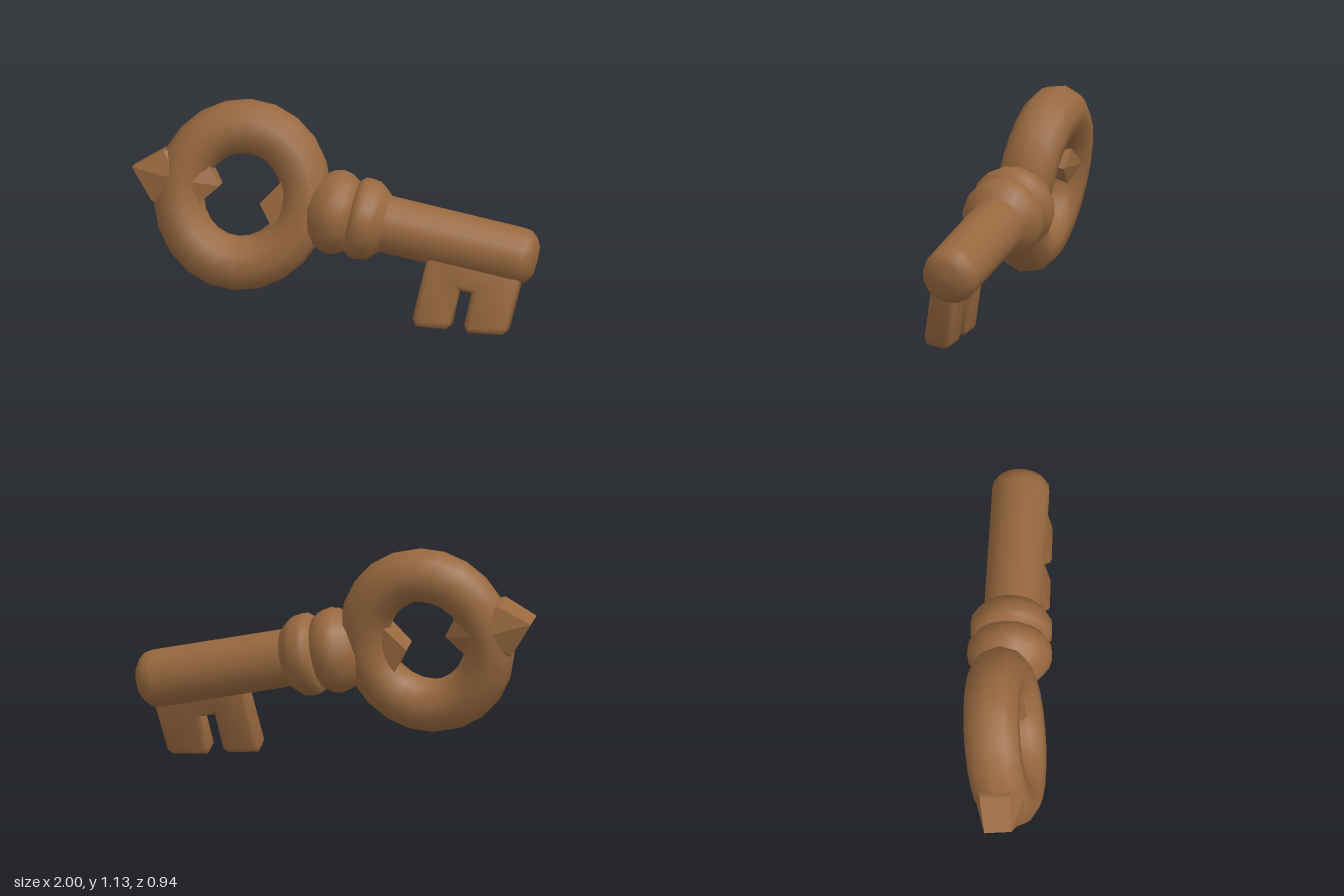
import * as THREE from 'three';
import { toCreasedNormals } from 'three/addons/utils/BufferGeometryUtils.js';
import { ConvexGeometry } from 'three/addons/geometries/ConvexGeometry.js';

export function createModel() {
  const model = new THREE.Group();
  const key = new THREE.Group();
  key.name = 'key';
  model.add(key);

  const bronze = new THREE.MeshStandardMaterial({ color: 0x98683f });
  bronze.name = 'bronze';

  const add = (name, geometry) => {
    const mesh = new THREE.Mesh(geometry, bronze);
    mesh.name = name;
    key.add(mesh);
    return mesh;
  };

  // Turned parts: [position along the key, radius]
  const turned = (name, profile, sides = 16) => {
    const g = new THREE.LatheGeometry(profile.map(([s, r]) => new THREE.Vector2(r, s)), sides);
    g.rotateZ(-Math.PI / 2);
    return add(name, g);
  };
  turned('shaft', [[0, 0.148], [0.5, 0.148], [0.96, 0.148], [1.0, 0.143], [1.03, 0.12], [1.055, 0.08], [1.062, 0]]);
  turned('outerCollar', [[0.07, 0.14], [0.095, 0.19], [0.12, 0.21], [0.15, 0.212], [0.195, 0.206], [0.225, 0.185], [0.265, 0.147]]);
  turned('innerCollar', [[-0.17, 0], [-0.15, 0.12], [-0.09, 0.178], [-0.045, 0.21], [0, 0.22], [0.045, 0.212], [0.085, 0.185], [0.11, 0.14]]);

  // Ring handle, slightly taller than wide
  const ring = new THREE.TorusGeometry(0.34, 0.135, 10, 22);
  ring.scale(0.955, 1.04, 1.07);
  add('ringHandle', ring).position.set(-0.482, -0.025, 0);

  // Faceted wedges: corners [along, up, half thickness], mirrored front to back
  const wedge = (name, corners) => add(name, new ConvexGeometry(corners.flatMap(([s, u, w]) =>
    [new THREE.Vector3(s, u, w), new THREE.Vector3(s, u, -w)])));
  wedge('endPoint', [[-1.058, -0.01, 0.07], [-0.92, 0.115, 0.08], [-0.92, -0.155, 0.08],
    [-0.81, -0.01, 0.14], [-0.69, 0.11, 0.08], [-0.69, -0.12, 0.08], [-0.6, 0, 0.07]]);
  wedge('innerPoint', [[-0.38, -0.04, 0.07], [-0.28, 0.12, 0.08], [-0.28, -0.16, 0.08],
    [-0.18, 0.14, 0.09], [-0.18, -0.16, 0.09]]);

  // Bit with two teeth
  const bit = new THREE.Shape([[0.515, -0.05], [0.51, -0.43], [0.535, -0.468], [0.685, -0.447], [0.71, -0.42],
    [0.71, -0.235], [0.775, -0.235], [0.775, -0.405], [0.8, -0.437], [0.975, -0.408], [1.0, -0.375],
    [1.01, -0.05]].map(([x, y]) => new THREE.Vector2(x, y)));
  const bitGeometry = new THREE.ExtrudeGeometry(bit, {
    depth: 0.07, bevelEnabled: true, bevelThickness: 0.032, bevelSize: 0.026, bevelOffset: -0.026, bevelSegments: 2,
  });
  bitGeometry.translate(0, 0, -0.01);
  add('bit', toCreasedNormals(bitGeometry, 0.9));

  // Tilt the whole key and stand it on its teeth
  const along = new THREE.Vector3(0.918, -0.193, -0.346).normalize();
  const front = along.clone().cross(new THREE.Vector3(0.1, 0.96, -0.25)).normalize();
  const up = front.clone().cross(along);
  key.quaternion.setFromRotationMatrix(new THREE.Matrix4().makeBasis(along, up, front));
  key.position.set(0, 0.5875, 0.017);
  return model;
}
